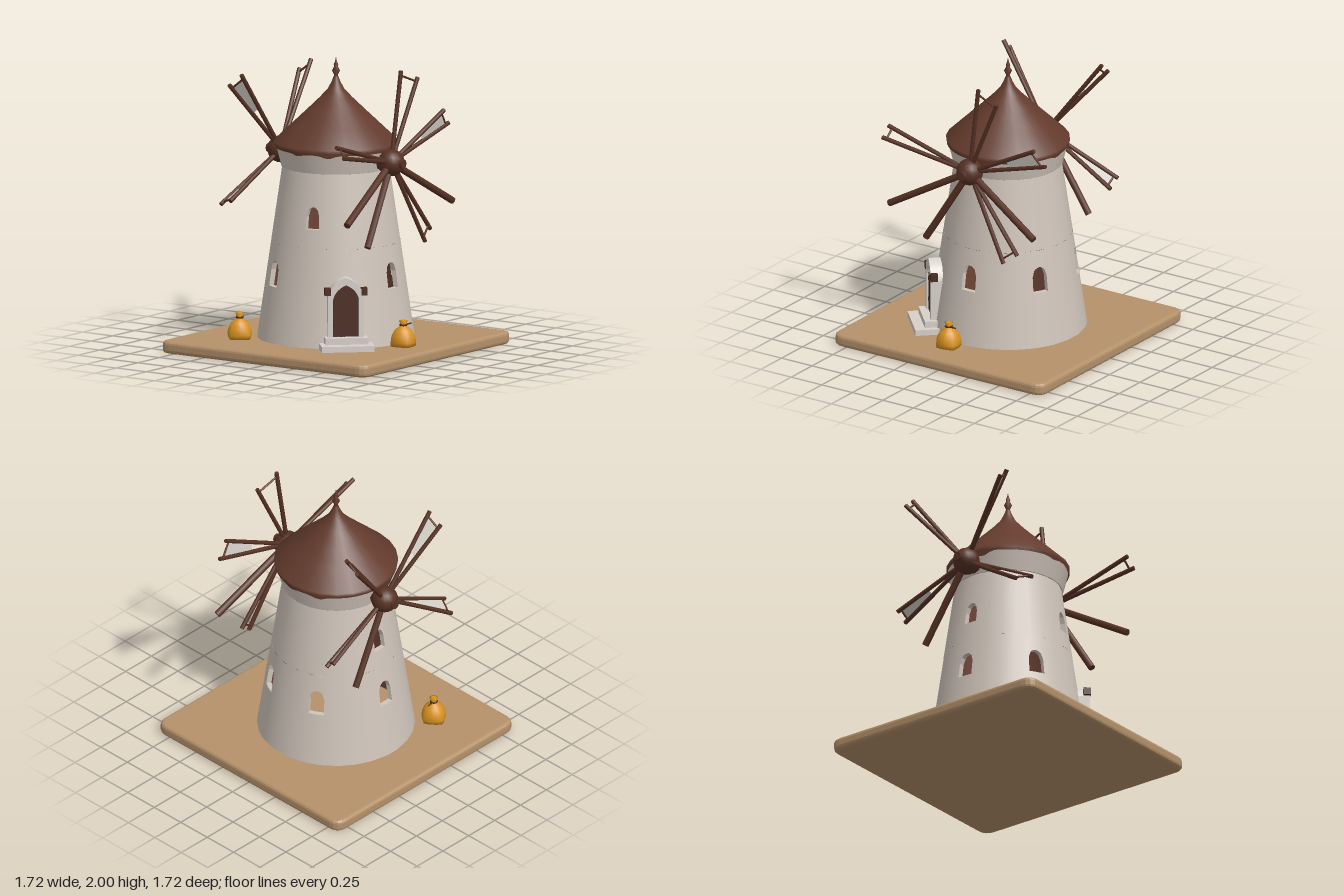
import * as THREE from 'three';

const mat = (name, color, side = THREE.FrontSide) => {
  const m = new THREE.MeshStandardMaterial({ color, side });
  m.name = name;
  return m;
};
const V = (x, y, z) => new THREE.Vector3(x, y, z);
const deg = THREE.MathUtils.degToRad;

export function createModel() {
  const M = {
    plaster: mat('plaster', 0xcfc4ba, THREE.DoubleSide),
    stone: mat('pale stone', 0xd6d0c9),
    inside: mat('brown interior', 0x74483a),
    roof: mat('roof brown', 0x633b2d, THREE.DoubleSide),
    timber: mat('sail timber', 0x563124),
    door: mat('door wood', 0x4c2b20),
    ground: mat('tan ground', 0xb4916a),
    sack: mat('ochre sacking', 0xd8921f),
    cloth: mat('sail cloth', 0xd3cec6, THREE.DoubleSide),
  };
  const model = new THREE.Group();
  model.name = 'windmill';
  const add = (name, geo, material, parent = model) => {
    const mesh = new THREE.Mesh(geo, material);
    mesh.name = name;
    parent.add(mesh);
    return mesh;
  };
  const group = (name, parent = model) => {
    const g = new THREE.Group();
    g.name = name;
    parent.add(g);
    return g;
  };
  const lathe = (pts, n = 24) => new THREE.LatheGeometry(pts.map(p => new THREE.Vector2(...p)), n);
  const box = (name, w, h, d, x, y, z, material, parent) =>
    add(name, new THREE.BoxGeometry(w, h, d), material, parent).position.set(x, y, z);
  const rod = (name, a, b, r0, r1, material, parent) => {
    const m = add(name, new THREE.CylinderGeometry(r1, r0, a.distanceTo(b), 8), material, parent);
    m.position.copy(a).lerp(b, 0.5);
    m.quaternion.setFromUnitVectors(V(0, 1, 0), b.clone().sub(a).normalize());
  };

  // Ground slab with rounded corners and bevelled rim
  const h = 0.835, c = 0.06;
  const slab = new THREE.Shape();
  slab.moveTo(-h + c, -h).lineTo(h - c, -h).quadraticCurveTo(h, -h, h, -h + c)
    .lineTo(h, h - c).quadraticCurveTo(h, h, h - c, h)
    .lineTo(-h + c, h).quadraticCurveTo(-h, h, -h, h - c)
    .lineTo(-h, -h + c).quadraticCurveTo(-h, -h, -h + c, -h);
  const slabGeo = new THREE.ExtrudeGeometry(slab, {
    depth: 0.035, bevelSize: 0.025, bevelThickness: 0.025, bevelSegments: 3, curveSegments: 4 });
  slabGeo.rotateX(-Math.PI / 2).translate(0, 0.025, 0);
  add('groundSlab', slabGeo, M.ground);

  // Tapered tower wall: each band leaves arched gaps at the given angles
  const radius = y => 0.535 - 0.172 * (y - 0.08) / 1.18;
  const wallPoint = (t, y, inset) => {
    const r = radius(y) - inset;
    return [r * Math.sin(t), y, r * Math.cos(t)];
  };
  const half = 0.115, thick = 0.035;
  const wallBand = (y0, y1, sill, top, angles) => {
    const skins = { outer: [[], []], inner: [[], []], reveal: [[], []] };
    const quad = (skin, corners, normals) => [0, 1, 2, 0, 2, 3].forEach(i => {
      skins[skin][0].push(...corners[i]);
      skins[skin][1].push(...normals[i]);
    });
    const wall = (ta, tb, a0, b0, a1, b1) => {
      const n = (t, s) => V(s * Math.sin(t), s * 0.145, s * Math.cos(t)).normalize().toArray();
      const na = n(ta, 1), nb = n(tb, 1), ia = n(ta, -1), ib = n(tb, -1);
      quad('outer', [wallPoint(ta, a0, 0), wallPoint(tb, b0, 0), wallPoint(tb, b1, 0), wallPoint(ta, a1, 0)], [na, nb, nb, na]);
      quad('inner', [wallPoint(tb, b0, thick), wallPoint(ta, a0, thick), wallPoint(ta, a1, thick), wallPoint(tb, b1, thick)], [ib, ia, ia, ib]);
    };
    const reveal = (ta, ya, tb, yb) => {
      const p = [wallPoint(ta, ya, 0), wallPoint(tb, yb, 0), wallPoint(tb, yb, thick), wallPoint(ta, ya, thick)];
      const v = p.map(q => V(...q));
      const n = v[1].sub(v[0]).cross(v[3].sub(v[0])).normalize().toArray();
      quad('reveal', p, [n, n, n, n]);
    };
    const arch = u => top - 0.065 + 0.065 * Math.sqrt(Math.max(0, 1 - u * u));
    angles.forEach((a, i) => {
      const t = deg(a);
      for (let k = 0; k < 8; k++) {
        const u = -1 + k / 4, w = u + 0.25, ta = t + half * u, tb = t + half * w;
        wall(ta, tb, y0, y0, sill, sill);
        wall(ta, tb, arch(u), arch(w), y1, y1);
        reveal(tb, sill, ta, sill);
        reveal(ta, arch(u), tb, arch(w));
      }
      reveal(t - half, sill, t - half, arch(1));
      reveal(t + half, arch(1), t + half, sill);
      const end = deg(i + 1 < angles.length ? angles[i + 1] : angles[0] + 360) - half;
      const start = t + half, n = Math.ceil((end - start) / 0.26);
      for (let k = 0; k < n; k++)
        wall(start + (end - start) * k / n, start + (end - start) * (k + 1) / n, y0, y0, y1, y1);
    });
    for (const [skin, material] of [['outer', M.plaster], ['inner', M.inside], ['reveal', M.plaster]]) {
      const g = new THREE.BufferGeometry();
      g.setAttribute('position', new THREE.Float32BufferAttribute(skins[skin][0], 3));
      g.setAttribute('normal', new THREE.Float32BufferAttribute(skins[skin][1], 3));
      add('tower ' + skin, g, material);
    }
  };
  wallBand(0.08, 0.75, 0.46, 0.635, [0, 62, 118, 180, 242]);
  wallBand(0.75, 1.27, 0.88, 1.03, [180, 283]);

  // Collar, roof cone, ragged eave and finial
  add('collar', lathe([[0.35, 1.255], [0.372, 1.255], [0.372, 1.256], [0.408, 1.4]]), M.plaster);
  add('eaveUnderside', lathe([[0.02, 1.397], [0.418, 1.4]]), M.roof);
  add('roofCone', lathe([[0.418, 1.4], [0.42, 1.425], [0.3, 1.54], [0.2, 1.635], [0.11, 1.722],
    [0.055, 1.782], [0.03, 1.83], [0.016, 1.865]]), M.roof);
  add('finial', lathe([[0.016, 1.86], [0.012, 1.875], [0.027, 1.905], [0.012, 1.935],
    [0.016, 1.945], [0.008, 1.965], [0, 2]], 10), M.roof);
  const drip = new THREE.CylinderGeometry(0.415, 0.412, 0.02, 72, 1, true);
  const dp = drip.attributes.position;
  for (let i = 0; i < dp.count; i++) {
    if (dp.getY(i) > 0) continue;
    const t = Math.atan2(dp.getX(i), dp.getZ(i));
    dp.setY(i, -0.008 - 0.035 * Math.max(0, Math.sin(3 * t + 1) * Math.sin(7 * t)) ** 2);
  }
  drip.translate(0, 1.395, 0);
  add('eaveEdge', drip, M.roof);

  // Sail wheels: single poles, or pairs joined by a bar with optional cloth
  const sailWheel = (name, side, sails) => {
    const g = group(name);
    const hub = V(0, 1.32, side * 0.46);
    add('hub', new THREE.SphereGeometry(0.092, 16, 12), M.timber, g).position.copy(hub);
    rod('axle', V(0, 1.32, side * 0.3), V(0, 1.32, side * 0.5), 0.06, 0.06, M.timber, g);
    rod('hubKnob', V(0, 1.32, side * 0.5), V(0, 1.32, side * 0.565), 0.036, 0.032, M.timber, g);
    for (const { tips, cloth } of sails) {
      const ends = tips.map(p => V(...p));
      const r = ends.length > 1 ? 0.015 : 0.024;
      ends.forEach(e => rod('sailPole', hub, e, r, r, M.timber, g));
      if (ends.length < 2) continue;
      const at = (i, k) => hub.clone().lerp(ends[i], k);
      rod('sailBar', at(0, 0.95), at(1, 0.95), 0.007, 0.007, M.timber, g);
      if (!cloth) continue;
      const geo = new THREE.BufferGeometry().setFromPoints([at(0, 0.55), at(0, 0.95), at(1, 0.95), at(1, 0.55)]);
      geo.setIndex([0, 1, 2, 0, 2, 3]);
      geo.computeVertexNormals();
      add('sailCloth', geo, M.cloth, g);
    }
  };
  sailWheel('frontSails', 1, [
    { tips: [[0.085, 1.94, 0.48], [0.25, 1.875, 0.5]] },
    { tips: [[0.555, 1.605, 0.5], [0.635, 1.505, 0.48]], cloth: true },
    { tips: [[0.585, 0.985, 0.55]] },
    { tips: [[0.41, 0.81, 0.49], [0.315, 0.74, 0.515]] },
    { tips: [[-0.33, 0.785, 0.5]] },
    { tips: [[-0.61, 0.98, 0.53]] },
    { tips: [[-0.655, 1.515, 0.475], [-0.66, 1.45, 0.54]] },
  ]);
  sailWheel('backSails', -1, [
    { tips: [[-0.385, 1.875, -0.51], [-0.4, 1.8, -0.6]], cloth: true },
    { tips: [[0.42, 1.87, -0.51], [0.41, 1.8, -0.6]] },
    { tips: [[0.55, 1.08, -0.51], [0.54, 1.02, -0.44]], cloth: true },
    { tips: [[0.32, 0.77, -0.5]] },
    { tips: [[-0.57, 1.04, -0.47], [-0.52, 1.0, -0.585]], cloth: true },
  ]);

  // Doorway with arched stone surround, plank door and steps
  const entry = group('doorway');
  entry.rotation.y = deg(-47);
  const archPath = (p, w, y0, y1, peak) => p.moveTo(-w, y0).lineTo(w, y0).lineTo(w, y1)
    .quadraticCurveTo(w * 0.8, peak - 0.03, 0, peak).quadraticCurveTo(-w * 0.8, peak - 0.03, -w, y1);
  const surround = archPath(new THREE.Shape(), 0.122, 0.16, 0.45, 0.575);
  surround.holes.push(archPath(new THREE.Path(), 0.088, 0.17, 0.43, 0.525));
  const frame = new THREE.ExtrudeGeometry(surround, { depth: 0.11, bevelEnabled: false });
  add('doorSurround', frame.translate(0, 0, 0.435), M.stone, entry);
  const panel = new THREE.ExtrudeGeometry(archPath(new THREE.Shape(), 0.09, 0.165, 0.43, 0.52),
    { depth: 0.08, bevelEnabled: false });
  add('doorPanel', panel.translate(0, 0, 0.442), M.door, entry);
  for (let i = -2; i <= 2; i++) box('doorPlank', 0.03, 0.27, 0.01, i * 0.034, 0.305, 0.525, M.door, entry);
  for (const y of [0.25, 0.4]) box('doorBand', 0.165, 0.02, 0.01, 0, y, 0.531, M.door, entry);
  for (const s of [-1, 1]) box('archBracket', 0.04, 0.05, 0.05, s * 0.125, 0.48, 0.525, M.door, entry);
  box('lowerStep', 0.36, 0.05, 0.25, 0, 0.1, 0.535, M.stone, entry);
  box('upperStep', 0.29, 0.1, 0.2, 0, 0.12, 0.49, M.stone, entry);

  // Grain sacks: round bodies with four pulled-out bottom corners
  const sackGeo = lathe([[0, 0], [0.072, 0.002], [0.083, 0.03], [0.08, 0.07], [0.06, 0.11],
    [0.03, 0.135], [0.018, 0.148], [0.03, 0.175], [0.012, 0.182], [0, 0.176]], 16);
  const sp = sackGeo.attributes.position;
  for (let i = 0; i < sp.count; i++) {
    const t = Math.atan2(sp.getX(i), sp.getZ(i));
    const k = 1 + 0.25 * Math.sin(2 * t) ** 4 * Math.max(0, 1 - sp.getY(i) / 0.05);
    sp.setX(i, sp.getX(i) * k);
    sp.setZ(i, sp.getZ(i) * k);
  }
  sackGeo.computeVertexNormals();
  for (const [x, z, turn] of [[-0.068, 0.61, 0.15], [-0.475, -0.46, 0.7]]) {
    const g = group('grainSack');
    g.position.set(x, 0.085, z);
    g.rotation.y = turn;
    add('sackBody', sackGeo, M.sack, g);
    add('sackTie', new THREE.TorusGeometry(0.021, 0.007, 6, 12).rotateX(Math.PI / 2), M.door, g).position.y = 0.147;
    rod('tieEnd', V(0.015, 0.147, 0.01), V(0.065, 0.152, 0.03), 0.006, 0.004, M.door, g);
  }
  return model;
}
